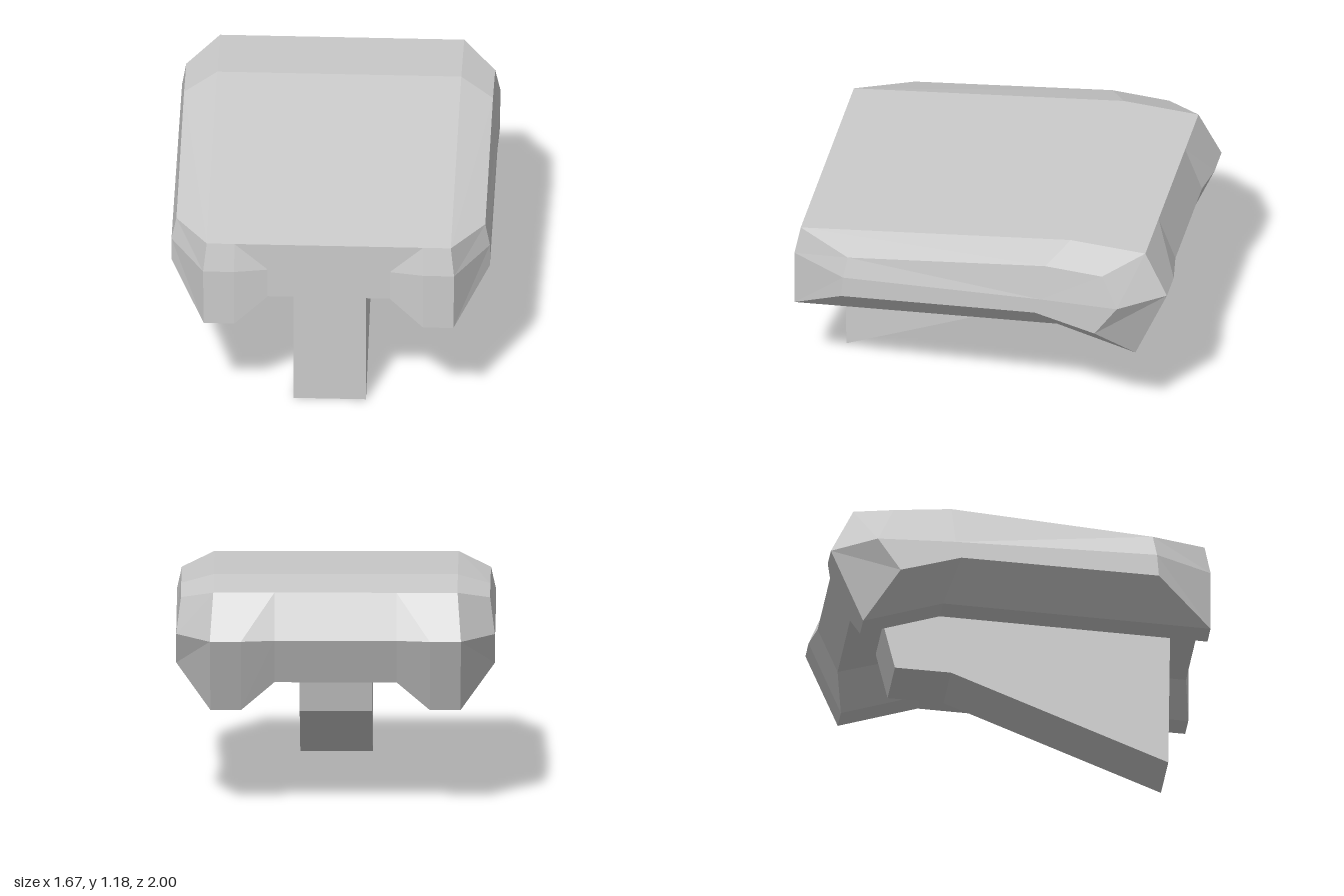
import * as THREE from 'three';

const material = new THREE.MeshStandardMaterial({ color: 0xcccccc, flatShading: true });

// Half of the cross-sections, from the middle outwards.
// x gives the width at [top, ridge, bottom]; each loop of [z, y] runs
// top front, top middle, top back, back ridge, bottom back, bottom middle, bottom front, front ridge.
const top = [[0.97, 1.04], [-0.48, 1.185], [-0.88, 1.16]];
const rim = [...top, [-1, 0.92], [-0.83, 0.525], [-0.41, 0.645], [1, 0.565], [1, 0.885]];
const sections = [
  { x: [0.32, 0.32, 0.32], loop: [...top, [-0.97, 0.92], [-0.865, 0.68], [-0.41, 0.8], [0.97, 0.72], [0.97, 0.885]] },
  { x: [0.495, 0.495, 0.495], loop: rim },
  { x: [0.64, 0.658, 0.655], loop: rim },
  {
    x: [0.81, 0.835, 0.835],
    loop: [[0.68, 1.01], [-0.38, 1.12], [-0.685, 1.1], [-0.77, 0.92], [-0.65, 0.745], [-0.33, 0.83], [0.71, 0.775], [0.7, 0.895]],
  },
];
const level = [0, 0, 0, 1, 2, 2, 2, 1];

function ring({ x, loop }, side) {
  return loop.map(([z, y], i) => new THREE.Vector3(side * x[level[i]], y, z));
}

// Faceted shell lofted across x, closed by a fan on each flank
function shellGeometry() {
  const rings = [
    ...[...sections].reverse().map((s) => ring(s, -1)),
    ...sections.map((s) => ring(s, 1)),
  ];
  const points = [];
  const n = level.length;
  for (let s = 0; s < rings.length - 1; s++) {
    for (let i = 0; i < n; i++) {
      const j = (i + 1) % n;
      const a = rings[s][i], b = rings[s + 1][i], c = rings[s + 1][j], d = rings[s][j];
      // mirrored diagonals keep both halves alike
      if (s < 3) points.push(a, b, d, b, c, d);
      else points.push(a, b, c, a, c, d);
    }
  }
  for (const side of [-1, 1]) {
    const loop = side < 0 ? rings[0] : rings[rings.length - 1];
    const centre = new THREE.Vector3(side * 0.835, 0.92, -0.36);
    for (let i = 0; i < n; i++) {
      const j = (i + 1) % n;
      if (side > 0) points.push(centre, loop[j], loop[i]);
      else points.push(centre, loop[i], loop[j]);
    }
  }
  const geometry = new THREE.BufferGeometry().setFromPoints(points);
  geometry.computeVertexNormals();
  return geometry;
}

// Central tapered support, drawn in side profile and extruded across x
function supportGeometry() {
  const profile = [[0.825, 0], [-0.32, 0.465], [-0.615, 0.48], [-0.69, 0.78], [-0.41, 0.84], [0.835, 0.78]];
  const shape = new THREE.Shape(profile.map(([z, y]) => new THREE.Vector2(-z, y)));
  const geometry = new THREE.ExtrudeGeometry(shape, { depth: 0.38, bevelEnabled: false });
  geometry.rotateY(Math.PI / 2);
  geometry.translate(-0.19, 0, 0);
  return geometry;
}

export function createModel() {
  const group = new THREE.Group();
  const add = (name, geometry) => {
    const mesh = new THREE.Mesh(geometry, material);
    mesh.name = name;
    group.add(mesh);
  };
  add('shell', shellGeometry());
  add('support', supportGeometry());
  return group;
}
